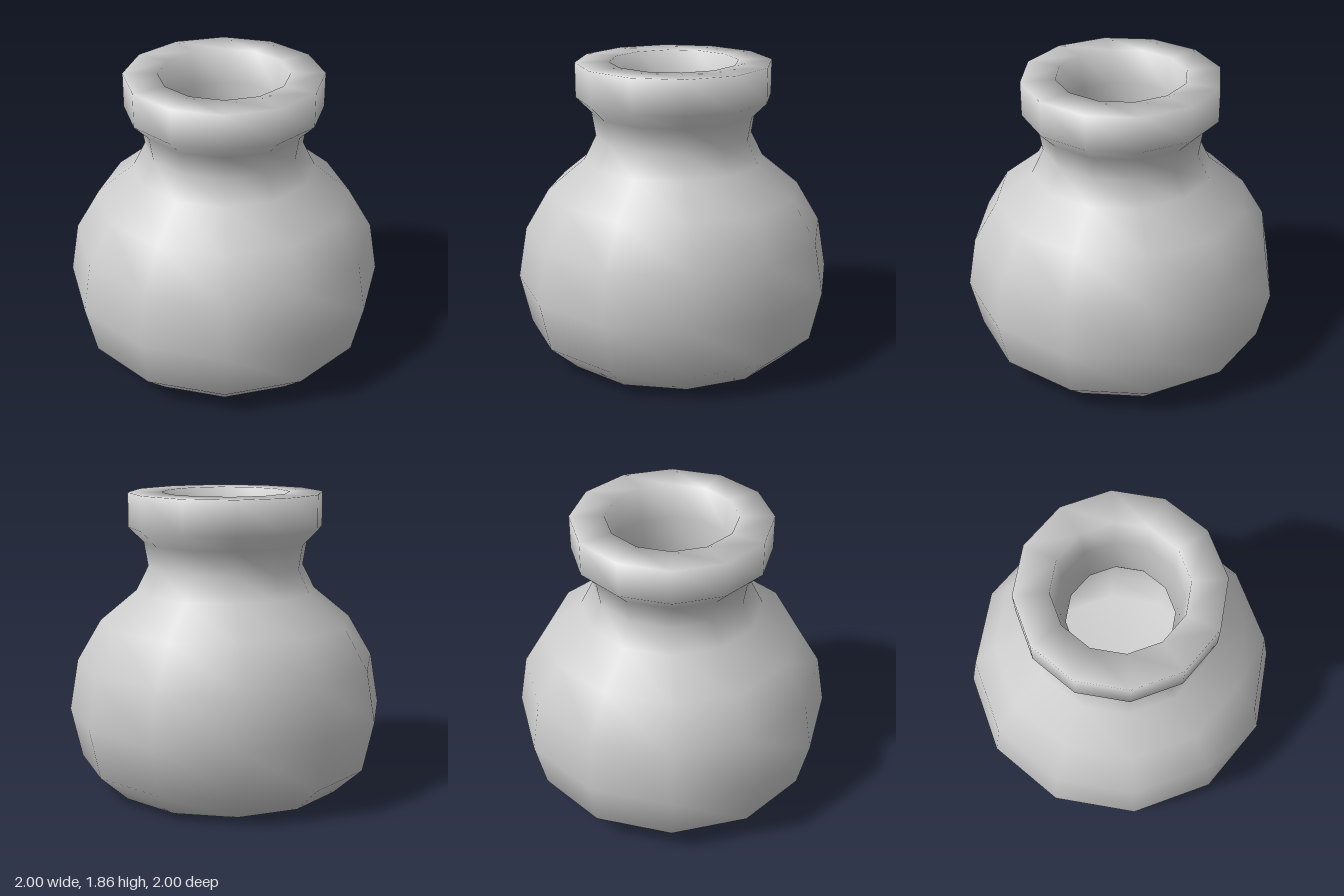
import * as THREE from 'three';

const SIDES = 12;

// Outer skin from the centre of the base up to the lip
const outer = [
  [0, 0], [0.745, 0], [0.93, 0.17], [1.0, 0.485], [0.945, 0.805], [0.795, 1.06],
  [0.565, 1.25], [0.49, 1.4], [0.515, 1.55], [0.61, 1.645], [0.61, 1.86],
];

// Inner skin from the lip down to the centre of the hollow
const inner = [
  [0.4, 1.86], [0.38, 1.64], [0.33, 1.4], [0.42, 1.2], [0.66, 0.98], [0.8, 0.76],
  [0.84, 0.485], [0.78, 0.25], [0.66, 0.14], [0, 0.14],
];

export function createModel() {
  const group = new THREE.Group();
  group.name = 'pot';

  // One smooth, twelve-sided turned body with a thick flat lip
  const profile = [...outer, ...inner].map(([r, y]) => new THREE.Vector2(r, y));
  const body = new THREE.Mesh(
    new THREE.LatheGeometry(profile, SIDES),
    new THREE.MeshStandardMaterial({ color: 0xcccccc }),
  );
  body.name = 'potBody';
  group.add(body);

  return group;
}
